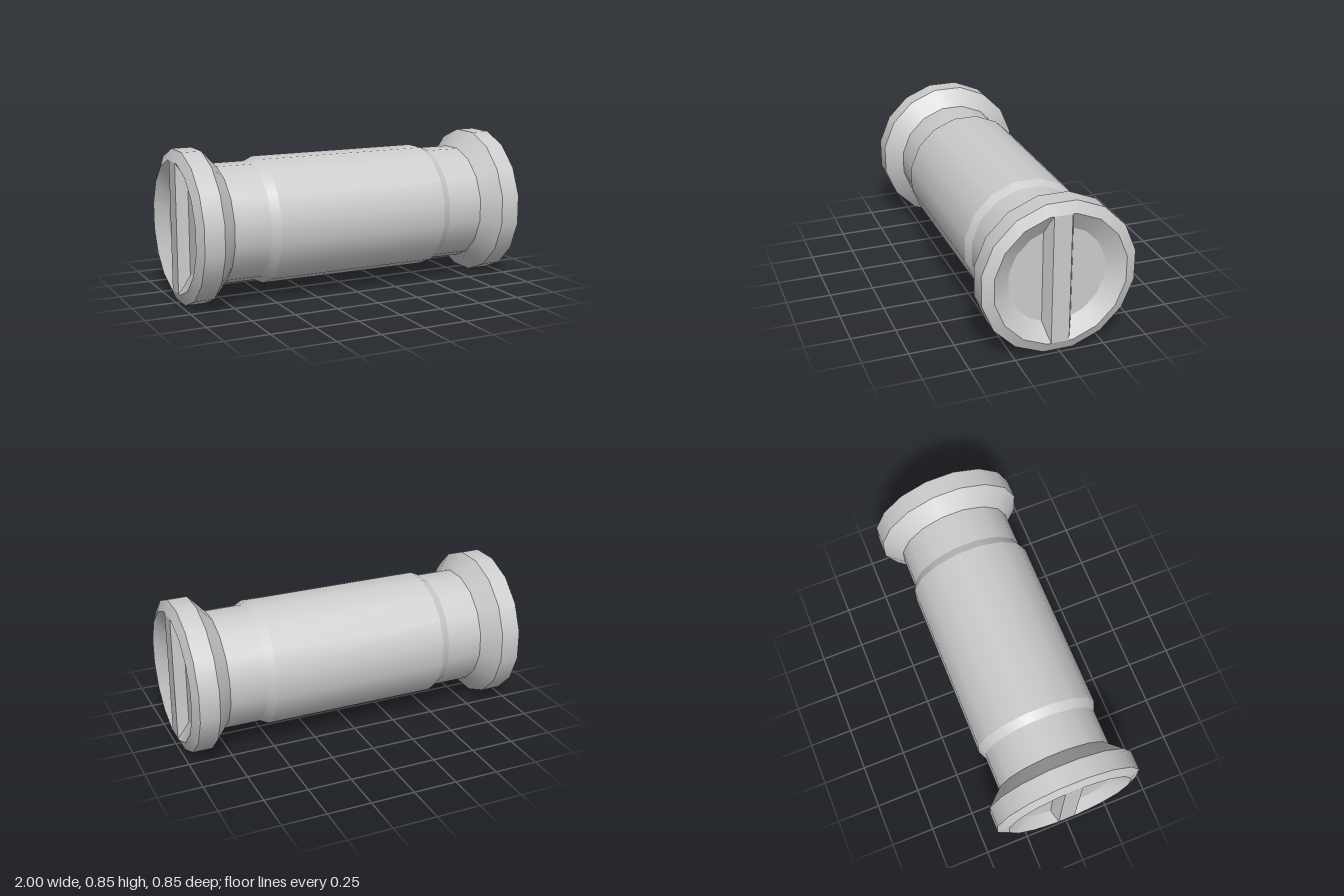
import * as THREE from 'three';
import { mergeGeometries } from 'three/addons/utils/BufferGeometryUtils.js';

const SIDES = 16;
const CENTRE_Y = 0.424;
const grey = new THREE.MeshStandardMaterial({ color: 0xcccccc });

// Turned part along x: smooth around, crisp between bands.
// The profile lists [x, distance from axis to a flat], from -x to +x on the outside.
function turned(name, profile) {
  const pts = profile.map(([x, flat]) => new THREE.Vector2(flat / Math.cos(Math.PI / SIDES), x));
  const bands = [];
  for (let i = 0; i < pts.length - 1; i++) {
    bands.push(new THREE.LatheGeometry([pts[i], pts[i + 1]], SIDES, Math.PI / SIDES));
  }
  const geometry = mergeGeometries(bands);
  geometry.rotateZ(-Math.PI / 2);
  const mesh = new THREE.Mesh(geometry, grey);
  mesh.name = name;
  return mesh;
}

// Tapered bar across the recess, flush with the rim
function crossBar() {
  const shape = new THREE.Shape([
    new THREE.Vector2(0.94, -0.082),
    new THREE.Vector2(1, -0.05),
    new THREE.Vector2(1, 0.05),
    new THREE.Vector2(0.94, 0.082),
  ]);
  const length = 0.728;
  const geometry = new THREE.ExtrudeGeometry(shape, { depth: length, bevelEnabled: false });
  geometry.translate(0, 0, -length / 2);
  geometry.rotateX(-Math.PI / 2);
  const mesh = new THREE.Mesh(geometry, grey);
  mesh.name = 'crossBar';
  return mesh;
}

// Flared end with a chamfered rim and a dished recess
function endCap(name) {
  const cap = new THREE.Group();
  cap.name = name;
  cap.add(turned('flaredHead', [
    [0.77, 0.33], [0.86, 0.424], [0.972, 0.424], [1, 0.364], [0.94, 0.267], [0.94, 0],
  ]));
  cap.add(crossBar());
  return cap;
}

export function createModel() {
  const model = new THREE.Group();
  model.name = 'spool';

  // Shaft with a thicker middle sleeve
  const shaft = turned('shaft', [
    [-0.77, 0.33], [-0.56, 0.33], [-0.51, 0.353], [0.51, 0.353], [0.56, 0.33], [0.77, 0.33],
  ]);

  const leftCap = endCap('leftCap');
  const rightCap = endCap('rightCap');
  rightCap.rotation.y = Math.PI;

  for (const part of [shaft, leftCap, rightCap]) {
    part.position.y = CENTRE_Y;
    model.add(part);
  }
  return model;
}
